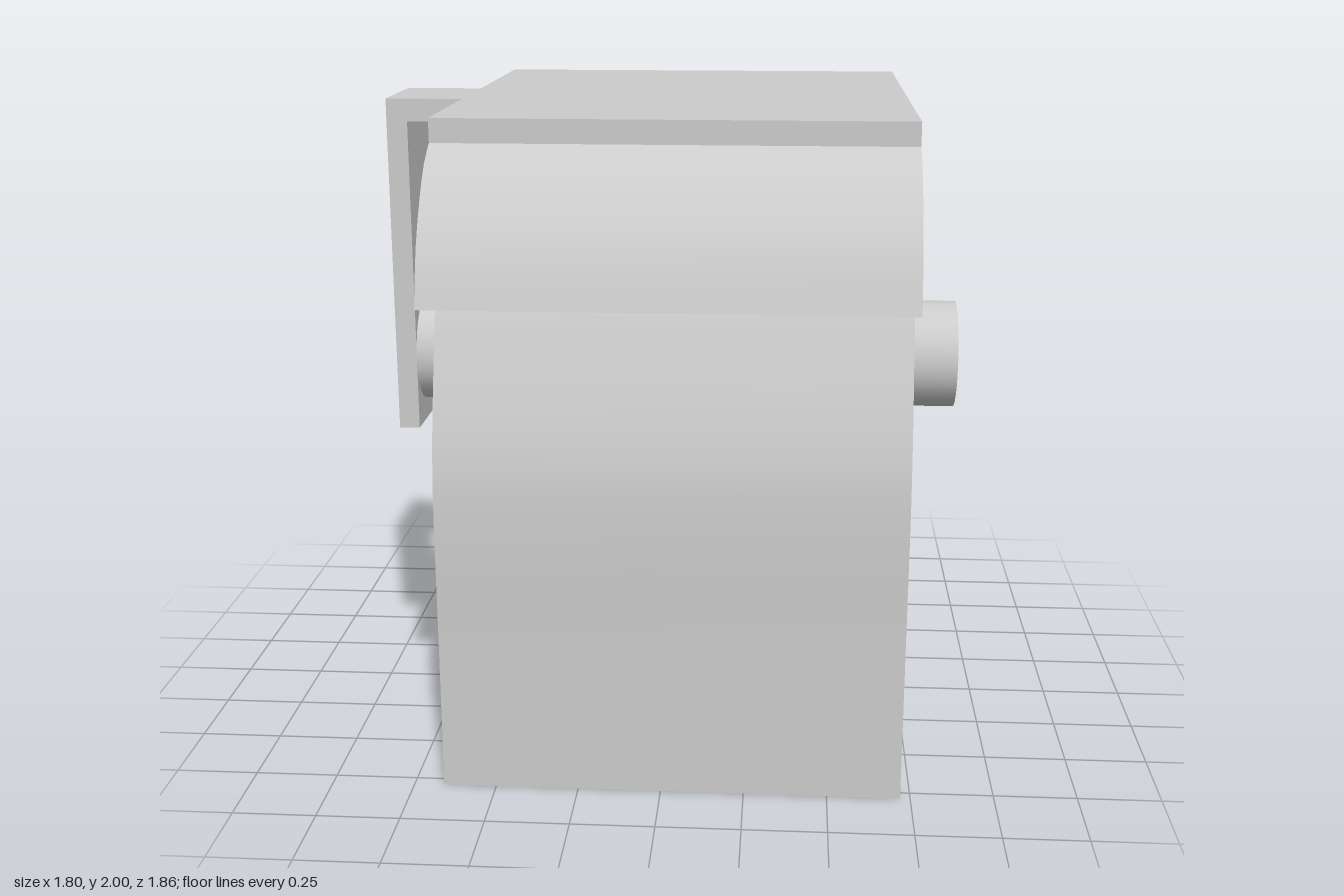
import * as THREE from 'three';
import { toCreasedNormals } from 'three/addons/utils/BufferGeometryUtils.js';

const LEFT = 0.72, RIGHT = -0.66;          // sides of the roll, cover and paper
const AXIS_Y = 1.17, AXIS_Z = -0.04;       // centre line of roll and spindle

const grey = new THREE.MeshStandardMaterial({ color: 0xcccccc });
const thin = new THREE.MeshStandardMaterial({ color: 0xcccccc, side: THREE.DoubleSide });

export function createModel() {
  const group = new THREE.Group();

  function add(name, geometry, material = grey) {
    const mesh = new THREE.Mesh(geometry, material);
    mesh.name = name;
    group.add(mesh);
    return mesh;
  }

  // Box given by its limits on each axis
  function box(name, [x0, x1], [y0, y1], [z0, z1]) {
    add(name, new THREE.BoxGeometry(x1 - x0, y1 - y0, z1 - z0))
      .position.set((x0 + x1) / 2, (y0 + y1) / 2, (z0 + z1) / 2);
  }

  // Thin sheet: a [z, y] profile, listed top to bottom, swept across the width
  function sheet(name, profile, segments) {
    const curve = new THREE.CatmullRomCurve3(profile.map(([z, y]) => new THREE.Vector3(0, y, z)));
    const geometry = new THREE.PlaneGeometry(LEFT - RIGHT, 1, 1, segments);
    const pos = geometry.attributes.position;
    for (let i = 0; i < pos.count; i++) {
      const p = curve.getPoint(Math.min(1, Math.max(0, 0.5 - pos.getY(i))));
      pos.setXYZ(i, pos.getX(i) + (LEFT + RIGHT) / 2, p.y, p.z);
    }
    geometry.computeVertexNormals();
    add(name, geometry, thin);
  }

  // Holder: cover, wall plate and the side arm carrying the spindle
  box('cover', [RIGHT, LEFT], [1.93, 2], [-0.93, 0.65]);
  box('wallPlate', [RIGHT, LEFT], [0.6, 1.93], [-0.93, -0.9]);
  box('armBridge', [-0.9, RIGHT], [1.93, 2], [-0.21, 0.13]);
  box('arm', [-0.9, -0.835], [0.935, 1.93], [-0.21, 0.13]);

  // Spindle
  const spindle = new THREE.CylinderGeometry(0.172, 0.172, 1.735, 32);
  spindle.rotateZ(-Math.PI / 2);
  add('spindle', spindle).position.set((0.9 - 0.835) / 2, AXIS_Y, AXIS_Z);

  // Paper roll with an open core
  const h = (LEFT - RIGHT) / 2, core = 0.232, outer = 0.692;
  const ring = [[core, -h], [outer, -h], [outer, h], [core, h], [core, -h]]
    .map(([r, y]) => new THREE.Vector2(r, y));
  const roll = toCreasedNormals(new THREE.LatheGeometry(ring, 32), Math.PI / 5);
  roll.rotateZ(-Math.PI / 2);
  add('roll', roll).position.set((LEFT + RIGHT) / 2, AXIS_Y, AXIS_Z);

  // Loose paper hanging from the roll
  sheet('hangingPaper', [[0.45, 1.66], [0.56, 1.59], [0.64, 1.48], [0.7, 1.31],
    [0.76, 1.1], [0.785, 0.93], [0.785, 0.5], [0.785, 0]], 21);

  // Curved lip at the front of the cover
  sheet('coverLip', [[0.65, 1.93], [0.73, 1.88], [0.8, 1.8], [0.88, 1.67], [0.93, 1.51]], 8);

  return group;
}
